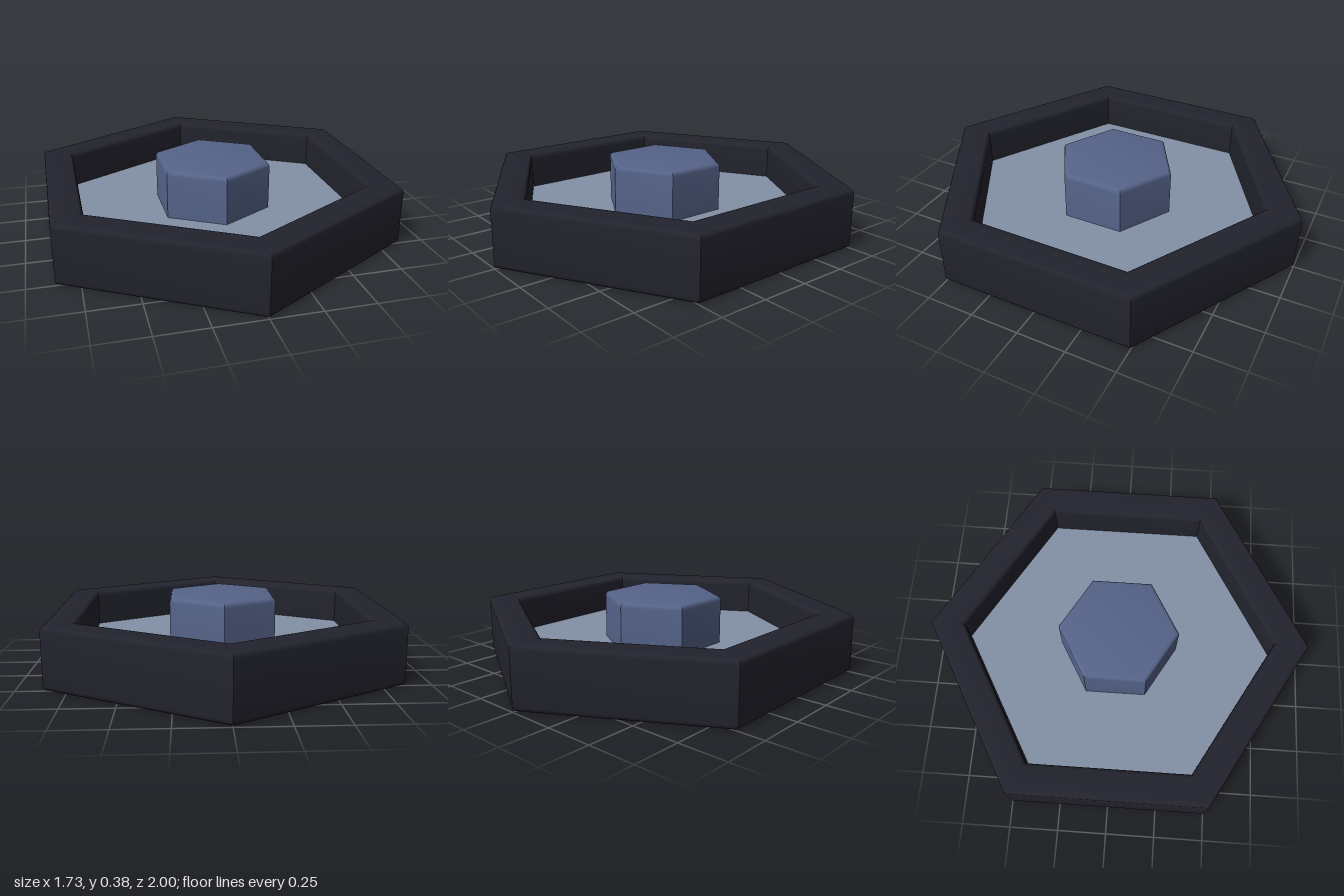
import * as THREE from 'three';
import { toCreasedNormals } from 'three/addons/utils/BufferGeometryUtils.js';

const frameDark = new THREE.MeshStandardMaterial({ color: 0x23232e });
frameDark.name = 'frameDark';
const floorGrey = new THREE.MeshStandardMaterial({ color: 0x8391a6 });
floorGrey.name = 'floorGrey';
const hubBlue = new THREE.MeshStandardMaterial({ color: 0x56648a });
hubBlue.name = 'hubBlue';

// Quarter-round profile points about (cx, cy), from angle a to a + 90 degrees
function fillet(cx, cy, r, a, steps = 4) {
  const points = [];
  for (let i = 0; i <= steps; i++) {
    const t = a + (i / steps) * Math.PI / 2;
    points.push(new THREE.Vector2(cx + r * Math.cos(t), cy + r * Math.sin(t)));
  }
  return points;
}

// Six-sided turned solid with corners on +z and -z
function hexSolid(name, profile, material) {
  const geometry = toCreasedNormals(new THREE.LatheGeometry(profile, 6), 0.6);
  const mesh = new THREE.Mesh(geometry, material);
  mesh.name = name;
  return mesh;
}

export function createModel() {
  const group = new THREE.Group();
  group.name = 'hexTray';
  const height = 0.31, floorY = 0.12, inner = 0.82, r = 0.025;
  const P = (x, y) => new THREE.Vector2(x, y);

  // Hexagonal tray body with rounded rim
  group.add(hexSolid('trayFrame', [
    P(0, 0),
    ...fillet(1 - r, r, r, -Math.PI / 2),
    ...fillet(1 - r, height - r, r, 0),
    ...fillet(inner + r, height - r, r, Math.PI / 2),
    P(inner, floorY - 0.01),
  ], frameDark));

  // Recessed floor panel
  const floor = new THREE.Mesh(new THREE.CircleGeometry(inner, 6, Math.PI / 2), floorGrey);
  floor.name = 'trayFloor';
  floor.rotation.x = -Math.PI / 2;
  floor.position.y = floorY;
  group.add(floor);

  // Raised central hub
  const hubR = 0.315, hubTop = 0.375;
  group.add(hexSolid('centreHub', [
    P(hubR, floorY - 0.01),
    ...fillet(hubR - r, hubTop - r, r, 0),
    P(0, hubTop),
  ], hubBlue));

  return group;
}
